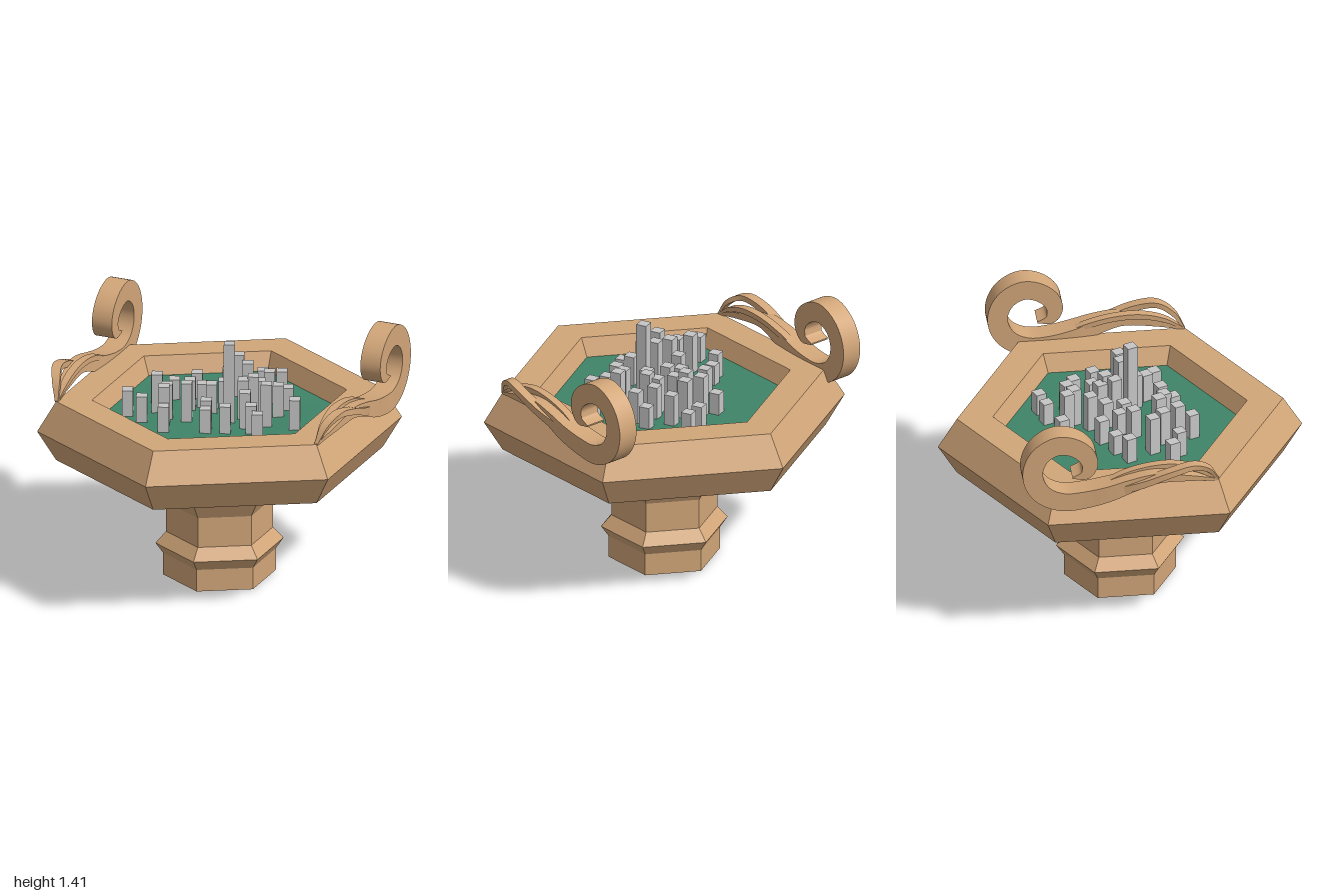
import * as THREE from 'three';
import { toCreasedNormals } from 'three/addons/utils/BufferGeometryUtils.js';

const stone = new THREE.MeshStandardMaterial({ color: 0xd2a679 });
stone.name = 'sandstone';
const grass = new THREE.MeshStandardMaterial({ color: 0x3f8468 });
grass.name = 'green';
const concrete = new THREE.MeshStandardMaterial({ color: 0xc6c6c6 });
concrete.name = 'lightGrey';

const CX = -0.045, CZ = 0.045; // centre of the hexagonal basin

function add(parent, name, geometry, material) {
  const mesh = new THREE.Mesh(geometry, material);
  mesh.name = name;
  parent.add(mesh);
  return mesh;
}

// Six-sided turned solid from [radius, height] pairs, with flat faces
function hexLathe(profile) {
  const points = profile.map(([r, y]) => new THREE.Vector2(r, y));
  const g = new THREE.LatheGeometry(points, 6, Math.PI / 12).toNonIndexed();
  g.computeVertexNormals();
  return g;
}

// Tapering rectangular band along knots [along, height, out, thickness, width].
// "along" follows a basin edge, "out" points away from the centre.
function band(knots, side, steps) {
  const path = new THREE.CatmullRomCurve3(
    knots.map(k => new THREE.Vector3(k[0], k[1], k[2])), false, 'centripetal');
  const size = new THREE.SplineCurve(knots.map(k => new THREE.Vector2(k[3], k[4])));
  const pos = [], index = [];
  const quad = (a, b, c, d) => side > 0
    ? index.push(a, b, c, a, c, d) : index.push(a, c, b, a, d, c);
  const h = Math.SQRT1_2;
  for (let i = 0; i <= steps; i++) {
    const p = path.getPoint(i / steps), d = path.getTangent(i / steps), s = size.getPoint(i / steps);
    const len = Math.hypot(d.x, d.y);
    for (const [a, b] of [[-1, -1], [1, -1], [1, 1], [-1, 1]]) {
      const t = p.x - d.y / len * a * s.x / 2;
      const y = p.y + d.x / len * a * s.x / 2;
      const n = side * (p.z + b * s.y / 2);
      pos.push(h * (t + n), y, h * (n - t));
    }
    if (i === 0) continue;
    const o = (i - 1) * 4;
    for (let j = 0; j < 4; j++) {
      const k = (j + 1) % 4;
      quad(o + j, o + k, o + 4 + k, o + 4 + j);
    }
  }
  const e = steps * 4;
  quad(3, 2, 1, 0);
  quad(e, e + 1, e + 2, e + 3);
  const g = new THREE.BufferGeometry();
  g.setAttribute('position', new THREE.Float32BufferAttribute(pos, 3));
  g.setIndex(index);
  return toCreasedNormals(g, 0.7);
}

// Curled main band
const SCROLL = [
  [-0.44, 1.03, 0.764, 0.015, 0.02], [-0.28, 1.075, 0.785, 0.035, 0.06],
  [-0.1, 1.1, 0.8, 0.06, 0.08], [0.04, 1.07, 0.8, 0.08, 0.1],
  [0.16, 1.03, 0.795, 0.095, 0.115], [0.29, 1.0, 0.79, 0.105, 0.117],
  [0.41, 0.995, 0.79, 0.11, 0.117], [0.51, 1.04, 0.79, 0.11, 0.117],
  [0.565, 1.12, 0.79, 0.11, 0.117], [0.573, 1.21, 0.79, 0.11, 0.117],
  [0.53, 1.3, 0.79, 0.112, 0.117], [0.44, 1.352, 0.79, 0.115, 0.117],
  [0.35, 1.335, 0.79, 0.11, 0.117], [0.285, 1.28, 0.79, 0.1, 0.117],
  [0.265, 1.215, 0.79, 0.085, 0.117], [0.29, 1.16, 0.79, 0.06, 0.117],
  [0.36, 1.145, 0.79, 0.01, 0.117],
];
// Thin leaf strands sweeping over the tail of the scroll
const ARCH = [
  [-0.44, 1.03, 0.764, 0.012, 0.02], [-0.385, 1.115, 0.79, 0.025, 0.045],
  [-0.3, 1.16, 0.825, 0.03, 0.055], [-0.18, 1.14, 0.845, 0.035, 0.055],
  [-0.03, 1.085, 0.84, 0.04, 0.055], [0.12, 1.035, 0.82, 0.05, 0.05],
  [0.28, 0.995, 0.8, 0.04, 0.04],
];
const INNER = [
  [-0.44, 1.03, 0.764, 0.012, 0.02], [-0.33, 1.1, 0.76, 0.025, 0.04],
  [-0.2, 1.135, 0.758, 0.03, 0.045], [-0.06, 1.13, 0.76, 0.03, 0.045],
  [0.08, 1.095, 0.765, 0.03, 0.045], [0.22, 1.03, 0.78, 0.03, 0.04],
];

// Buildings: x, z, top height
const TOWERS = [
  -0.31, -0.21, 1.08, -0.21, -0.2, 1.06, -0.09, -0.17, 1.09, 0.12, -0.25, 1.05,
  0.15, -0.17, 1.16, 0.29, -0.17, 1.05, 0.38, -0.12, 1.05, -0.52, -0.1, 1.08,
  -0.36, -0.07, 1.16, 0.06, -0.08, 1.14, 0.17, -0.085, 1.14, 0.27, -0.02, 1.1,
  -0.48, 0.01, 1.08, -0.19, -0.02, 1.12, -0.11, -0.04, 1.08, -0.085, 0.03, 1.1,
  0.005, -0.015, 1.09, -0.345, 0.04, 1.14, -0.39, 0.11, 1.16, -0.26, 0.11, 1.16,
  0.11, 0.07, 1.12, 0.175, 0.08, 1.1, 0.06, 0.13, 1.14, 0.12, 0.125, 1.15,
  0.325, 0.11, 1.05, 0.245, 0.175, 1.1, -0.425, 0.19, 1.08, -0.03, 0.155, 1.37,
  -0.195, 0.235, 1.1, -0.22, 0.285, 1.07, -0.115, 0.31, 1.08, 0.02, 0.26, 1.12,
  0.135, 0.28, 1.16, 0.02, 0.35, 1.08, 0.025, 0.43, 1.06, 0.25, 0.405, 1.1,
];

export function createModel() {
  const model = new THREE.Group();
  model.name = 'cityBasin';
  const basin = new THREE.Group();
  basin.name = 'basin';
  basin.position.set(CX, 0, CZ);
  model.add(basin);

  // Pedestal and rim
  add(basin, 'pedestal', hexLathe([
    [0, 0], [0.305, 0], [0.305, 0.125], [0.347, 0.185], [0.29, 0.25],
    [0.29, 0.42], [0.363, 0.545], [0.5, 0.69],
  ]), stone);
  add(basin, 'rim', hexLathe([
    [0, 0.69], [0.885, 0.69], [0.988, 0.86], [0.885, 1.03], [0.69, 1.03], [0.64, 0.92],
  ]), stone);

  // Gently rolling floor inside the rim
  const floor = new THREE.RingGeometry(0, 0.645, 6, 8, -Math.PI / 12);
  floor.rotateX(-Math.PI / 2);
  const p = floor.attributes.position;
  for (let i = 0; i < p.count; i++) {
    const x = p.getX(i), z = p.getZ(i);
    const fade = Math.max(0, 1 - Math.hypot(x, z) / 0.645);
    p.setY(i, 0.93 - 0.03 * Math.sin(6 * x + 3 * z) * fade);
  }
  floor.computeVertexNormals();
  add(basin, 'parkFloor', floor, grass);

  // Mirrored pair of scrolls on opposite edges
  for (const side of [1, -1]) {
    const scroll = new THREE.Group();
    scroll.name = side > 0 ? 'frontScroll' : 'backScroll';
    add(scroll, 'curl', band(SCROLL, side, 110), stone);
    add(scroll, 'archStrand', band(ARCH, side, 36), stone);
    add(scroll, 'innerStrand', band(INNER, side, 36), stone);
    basin.add(scroll);
  }

  // Miniature city
  const city = new THREE.Group();
  city.name = 'city';
  for (let i = 0; i < TOWERS.length; i += 3) {
    const [x, z, top] = TOWERS.slice(i, i + 3);
    const height = top - 0.9;
    const tower = add(city, 'building', new THREE.BoxGeometry(0.06, height, 0.06), concrete);
    tower.position.set(x, 0.9 + height / 2, z);
    tower.rotation.y = -0.4;
  }
  model.add(city);
  return model;
}
